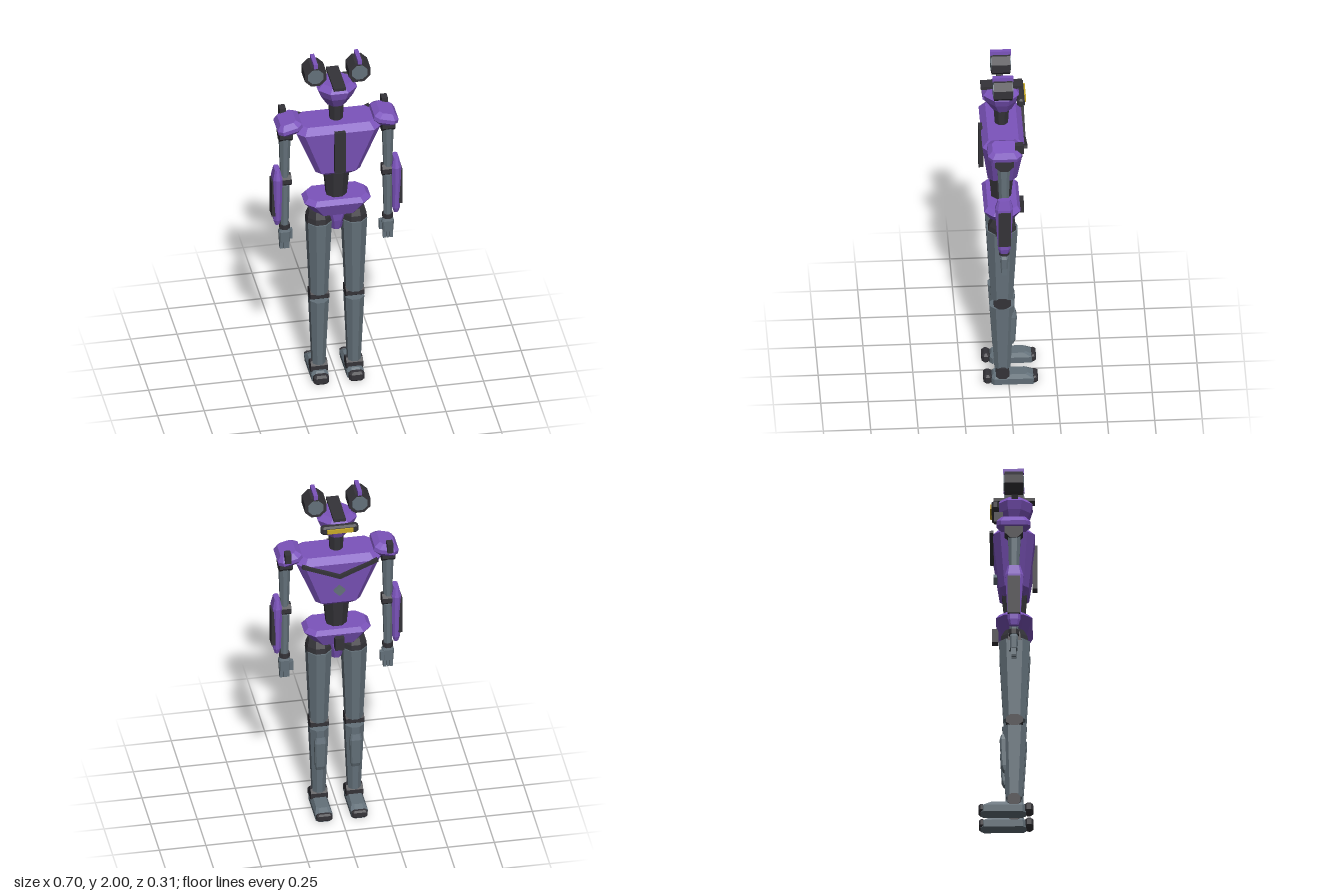
import * as THREE from 'three';

const mat = (name, color) => {
  const m = new THREE.MeshStandardMaterial({ color, flatShading: true });
  m.name = name;
  return m;
};

// Chamfered-rectangle cross-sections stacked along y; rows are [y, x0, x1, z0, z1]
function loft(rows, k = 0.3) {
  const rings = rows.map(([y, x0, x1, z0, z1]) => {
    const c = Math.min(x1 - x0, z1 - z0) * k;
    return [[x1, z0 + c], [x1, z1 - c], [x1 - c, z1], [x0 + c, z1],
      [x0, z1 - c], [x0, z0 + c], [x0 + c, z0], [x1 - c, z0]].map(([x, z]) => [x, y, z]);
  });
  const pos = [];
  const tri = (...p) => p.forEach((v) => pos.push(...v));
  const last = rings[rings.length - 1];
  for (let i = 0; i < 8; i++) {
    const n = (i + 1) % 8;
    for (let j = 0; j < rings.length - 1; j++) {
      const a = rings[j], b = rings[j + 1];
      tri(a[i], b[i], b[n]);
      tri(a[i], b[n], a[n]);
    }
    if (i > 0 && i < 7) {
      tri(last[0], last[n], last[i]);
      tri(rings[0][0], rings[0][i], rings[0][n]);
    }
  }
  const g = new THREE.BufferGeometry();
  g.setAttribute('position', new THREE.Float32BufferAttribute(pos, 3));
  g.computeVertexNormals();
  return g;
}

// Symmetric rows [y, halfX, z0, z1] around a centre x
const sym = (rows, cx = 0) => rows.map(([y, h, z0, z1]) => [y, cx - h, cx + h, z0, z1]);

// Block with bevelled edges, centred on its own origin
function bevelled(w, h, d, b) {
  const x = w / 2, y = h / 2, z = d / 2;
  const small = [-x + b, x - b, -z + b, z - b], full = [-x, x, -z, z];
  return loft([[-y, ...small], [-y + b, ...full], [y - b, ...full], [y, ...small]], b / Math.min(w, d));
}

// Eight-sided drum with flats facing the axes
function drum(across, length, axis) {
  const r = across / 2 / Math.cos(Math.PI / 8);
  const g = new THREE.CylinderGeometry(r, r, length, 8);
  g.rotateY(Math.PI / 8);
  if (axis === 'x') g.rotateZ(Math.PI / 2);
  if (axis === 'z') g.rotateX(Math.PI / 2);
  return g;
}

export function createModel() {
  const purple = mat('purple armour', 0x7c54bc);
  const grey = mat('slate grey', 0x64717a);
  const dark = mat('charcoal', 0x343338);
  const yellow = mat('yellow visor', 0xc8aa28);
  const model = new THREE.Group();
  model.name = 'robot';

  const add = (name, geo, material, x = 0, y = 0, z = 0, rz = 0) => {
    const m = new THREE.Mesh(geo, material);
    m.name = name;
    m.position.set(x, y, z);
    m.rotation.z = rz;
    model.add(m);
    return m;
  };
  const box = (name, material, w, h, d, x, y, z, rz = 0) =>
    add(name, new THREE.BoxGeometry(w, h, d), material, x, y, z, rz);

  // Head
  add('head', loft(sym([[1.72, 0.05, -0.02, 0.078], [1.785, 0.087, -0.05, 0.118],
    [1.83, 0.105, -0.06, 0.13], [1.86, 0.075, -0.04, 0.105]])), purple);
  box('headCrest', dark, 0.066, 0.017, 0.22, 0, 1.866, 0.033);
  add('visorFrame', bevelled(0.2, 0.05, 0.04, 0.01), dark, 0, 1.807, -0.066);
  box('visor', yellow, 0.14, 0.024, 0.009, 0, 1.807, -0.09);
  add('neck', loft(sym([[1.6, 0.033, 0, 0.066], [1.73, 0.039, -0.008, 0.075]])), dark);

  // Torso
  add('torso', loft(sym([[1.3, 0.085, -0.02, 0.085], [1.325, 0.12, -0.045, 0.11],
    [1.59, 0.226, -0.08, 0.143], [1.625, 0.195, -0.05, 0.11]]), 0.18), purple);
  box('backPlate', dark, 0.058, 0.25, 0.025, 0, 1.475, 0.142);
  box('chestDiamond', grey, 0.044, 0.044, 0.022, 0, 1.415, -0.066, Math.PI / 4);
  add('waist', loft(sym([[1.13, 0.052, -0.015, 0.085], [1.31, 0.067, -0.032, 0.1]])), dark);

  // Pelvis
  add('pelvis', loft(sym([[1.05, 0.11, -0.03, 0.097], [1.13, 0.178, -0.062, 0.13],
    [1.155, 0.155, -0.045, 0.11]]), 0.25), purple);
  add('crotch', loft(sym([[0.935, 0.026, 0.01, 0.06], [1.0, 0.046, -0.01, 0.08],
    [1.055, 0.062, -0.015, 0.088]])), purple);
  box('beltBlock', dark, 0.05, 0.075, 0.035, 0, 1.08, -0.067);

  for (const s of [1, -1]) {
    // Head lamps
    const lx = 0.118 * s;
    add('lamp', drum(0.116, 0.098, 'z'), dark, lx, 1.921, 0.031);
    add('lampLens', drum(0.082, 0.106, 'z'), grey, lx, 1.921, 0.031);
    box('lampFin', purple, 0.022, 0.026, 0.11, lx, 1.987, 0.031);
    box('lampMount', dark, 0.018, 0.06, 0.035, 0.088 * s, 1.855, 0.037, -0.4 * s);

    // Chest strap, half of a V
    box('chestStrap', dark, 0.222, 0.018, 0.02, 0.1 * s, 1.556, -0.085, 0.4 * s);

    // Shoulder
    add('shoulder', bevelled(0.134, 0.072, 0.178, 0.025), purple, 0.257 * s, 1.616, 0.031, -0.26 * s);
    box('shoulderPost', dark, 0.033, 0.055, 0.046, 0.274 * s, 1.645, -0.047);
    add('shoulderJoint', drum(0.098, 0.07, 'x'), dark, 0.275 * s, 1.568, 0.033);

    // Arm
    const ax = 0.277 * s;
    add('upperArm', loft(sym([[1.28, 0.022, 0.01, 0.058], [1.55, 0.03, 0.002, 0.07]], ax)), grey);
    add('elbow', drum(0.066, 0.066, 'x'), dark, ax, 1.268, 0.034);
    add('forearm', loft(sym([[0.98, 0.02, 0.012, 0.056], [1.24, 0.026, 0.005, 0.063]], ax)), grey);
    add('forearmShield', loft(sym([[1.0, 0.012, 0.012, 0.058], [1.03, 0.02, 0.002, 0.068],
      [1.29, 0.025, -0.012, 0.084], [1.345, 0.014, 0.002, 0.068]], 0.319 * s)), purple);
    box('shieldPlate', dark, 0.02, 0.215, 0.066, 0.341 * s, 1.168, 0.033);
    add('wrist', drum(0.054, 0.027, 'y'), dark, ax, 0.977, 0.033);
    add('palm', loft(sym([[0.88, 0.028, 0.014, 0.052], [0.945, 0.032, 0.012, 0.056],
      [0.965, 0.02, 0.018, 0.05]], ax), 0.2), grey);
    for (const f of [-1, 0, 1])
      box('finger', grey, 0.016, 0.05, 0.026, ax + f * 0.018, 0.864, 0.033);
    box('thumb', grey, 0.02, 0.055, 0.024, 0.243 * s, 0.915, 0.02);

    // Leg
    const gx = 0.095 * s;
    add('hip', loft(sym([[0.99, 0.066, -0.04, 0.11], [1.03, 0.062, -0.035, 0.103],
      [1.065, 0.052, -0.015, 0.085]], gx)), dark);
    add('thigh', loft(sym([[0.55, 0.046, -0.022, 0.093], [1.0, 0.064, -0.047, 0.117]], gx)), grey);
    const knee = add('knee', drum(0.09, 0.1, 'x'), dark, gx, 0.535, 0.035);
    knee.scale.y = 0.72;
    add('shin', loft(sym([[0.1, 0.034, -0.01, 0.075], [0.505, 0.05, -0.03, 0.1]], gx)), grey);
    add('shinGuard', loft(sym([[0.255, 0.022, -0.025, 0], [0.28, 0.027, -0.035, 0],
      [0.43, 0.032, -0.043, 0], [0.46, 0.026, -0.035, 0]], gx), 0.2), grey);

    // Foot
    add('ankle', drum(0.07, 0.09, 'x'), dark, gx, 0.075, 0.033);
    add('foot', loft(sym([[0.005, 0.043, -0.145, 0.095], [0.042, 0.046, -0.148, 0.095],
      [0.065, 0.034, -0.1, 0.08]], gx), 0.2), grey);
    add('toeCap', bevelled(0.084, 0.044, 0.032, 0.009), dark, gx, 0.03, -0.138);
    add('heel', bevelled(0.082, 0.056, 0.046, 0.012), dark, gx, 0.034, 0.111);
  }

  model.position.y = -0.005 + 0.005;
  return model;
}
